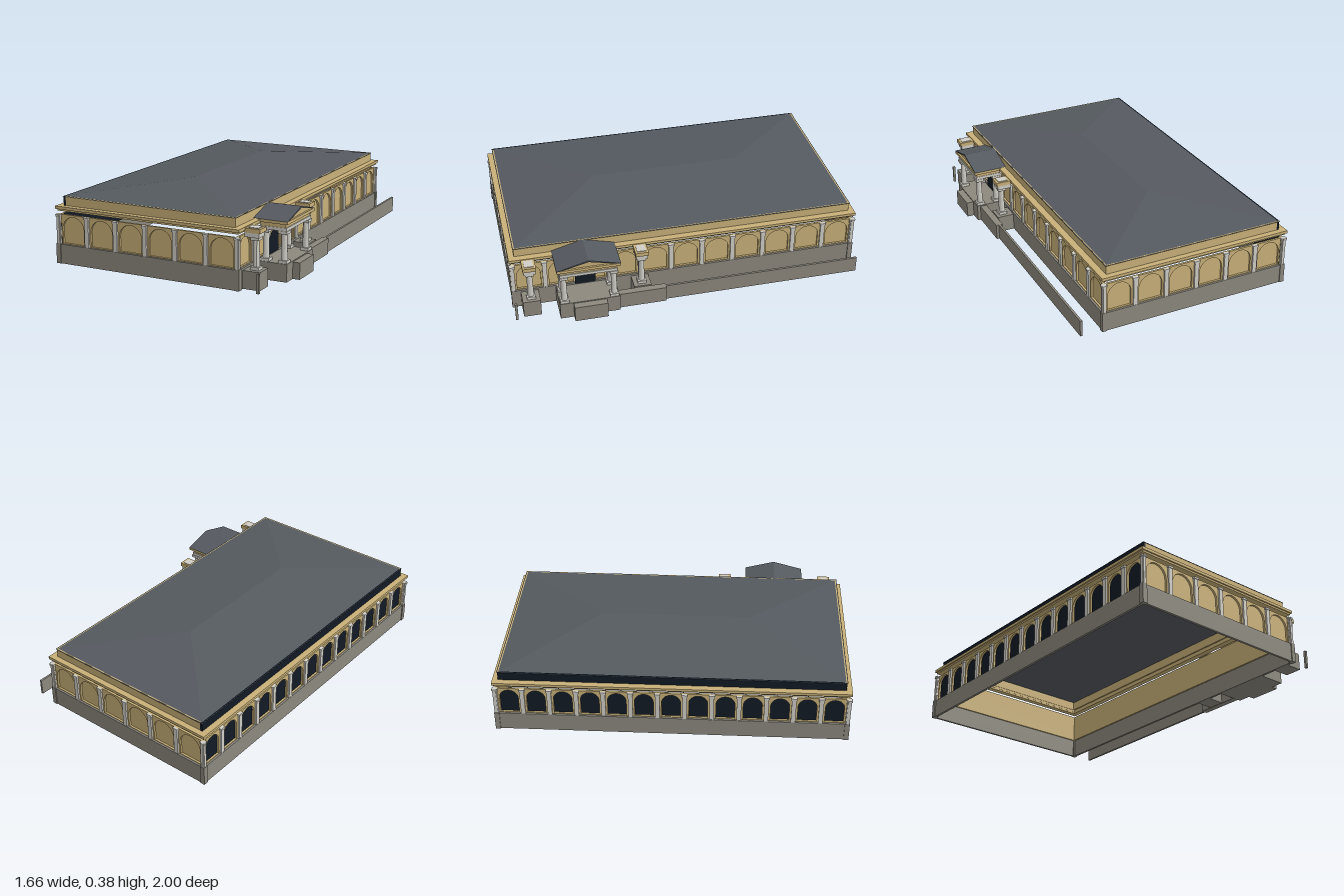
import * as THREE from 'three';

const mat = (color, side = THREE.FrontSide) => new THREE.MeshStandardMaterial({ color, side, flatShading: true });
const tan = mat(0xc8b078, THREE.DoubleSide);
const stone = mat(0x8c887e);
const light = mat(0xd0cec6);
const slate = mat(0x555a60, THREE.DoubleSide);
const navy = mat(0x111a24, THREE.DoubleSide);

const WALL_BOTTOM = 0.095, WALL_TOP = 0.24;

function add(parent, name, geometry, material, x = 0, y = 0, z = 0) {
  const m = new THREE.Mesh(geometry, material);
  m.name = name;
  m.position.set(x, y, z);
  parent.add(m);
  return m;
}

// Box given by its lower face height and its upper face height
function box(parent, name, material, x, z, w, d, y0, y1) {
  return add(parent, name, new THREE.BoxGeometry(w, y1 - y0, d), material, x, (y0 + y1) / 2, z);
}

// Outline of a round-headed opening
function arch(Path, x, w, y0, top) {
  const p = new Path();
  p.moveTo(x - w / 2, y0);
  p.lineTo(x + w / 2, y0);
  p.lineTo(x + w / 2, top - w / 2);
  p.absarc(x, top - w / 2, w / 2, 0, Math.PI, false);
  p.lineTo(x - w / 2, y0);
  return p;
}

// One facade: plinth, arcade with recessed infill, pilasters and attic
function facade(parent, name, angle, dist, half, bays, infill, attic, atticDist, atticHalf) {
  const g = new THREE.Group();
  g.name = name;
  g.rotation.y = angle;
  parent.add(g);
  box(g, 'plinth', stone, 0, dist + 0.002, half * 2 + 0.01, 0.012, 0, WALL_BOTTOM);

  const wall = new THREE.Shape();
  wall.moveTo(-half, WALL_BOTTOM);
  wall.lineTo(half, WALL_BOTTOM);
  wall.lineTo(half, WALL_TOP);
  wall.lineTo(-half, WALL_TOP);
  const bay = half * 2 / bays;
  for (let i = 0; i < bays; i++) {
    wall.holes.push(arch(THREE.Path, -half + bay * (i + 0.5), bay - 0.04, WALL_BOTTOM + 0.003, 0.23));
  }
  add(g, 'arcade', new THREE.ExtrudeGeometry(wall, { depth: 0.01, bevelEnabled: false, curveSegments: 10 }),
    tan, 0, 0, dist - 0.012);
  add(g, 'archInfill', new THREE.PlaneGeometry(half * 2, WALL_TOP - WALL_BOTTOM), infill,
    0, (WALL_BOTTOM + WALL_TOP) / 2, dist - 0.013);
  for (let i = 0; i <= bays; i++) {
    const x = -half + bay * i;
    box(g, 'pilaster', light, x, dist, 0.022, 0.014, WALL_BOTTOM, WALL_TOP);
    box(g, 'pilasterCapital', light, x, dist + 0.002, 0.028, 0.016, WALL_TOP - 0.01, WALL_TOP);
  }
  box(g, 'attic', attic, 0, atticDist - 0.006, atticHalf * 2, 0.012, 0.278, 0.325);
  return g;
}

// Flat rectangular ring
function ring(parent, name, material, hu, hv, width, y0, y1) {
  for (const s of [-1, 1]) {
    box(parent, name, material, s * (hu - width / 2), 0, width, hv * 2, y0, y1);
    box(parent, name, material, 0, s * (hv - width / 2), (hu - width) * 2, width, y0, y1);
  }
}

// Hipped roof with a flat underside
function hipRoof(hu, hv, ridge, y0, y1) {
  const a = [-hu, y0, -hv], b = [hu, y0, -hv], c = [hu, y0, hv], d = [-hu, y0, hv];
  const r = [0, y1, -ridge], f = [0, y1, ridge];
  const tris = [d, c, f, c, b, r, c, r, f, b, a, r, a, d, f, a, f, r, a, b, c, a, c, d];
  const geo = new THREE.BufferGeometry();
  geo.setAttribute('position', new THREE.Float32BufferAttribute(tris.flat(), 3));
  geo.computeVertexNormals();
  return geo;
}

// Column with square base and capital
function column(parent, x, z, y0, y1) {
  const g = new THREE.Group();
  g.name = 'column';
  g.position.set(x, 0, z);
  parent.add(g);
  box(g, 'columnBase', light, 0, 0, 0.042, 0.042, y0, y0 + 0.014);
  const h = y1 - y0 - 0.028;
  add(g, 'columnShaft', new THREE.CylinderGeometry(0.013, 0.016, h, 12), light, 0, y0 + 0.014 + h / 2, 0);
  box(g, 'columnCapital', light, 0, 0, 0.04, 0.04, y1 - 0.014, y1);
}

function buildPorch(parent) {
  const g = new THREE.Group();
  g.name = 'porch';
  g.position.z = 0.506;
  parent.add(g);
  box(g, 'porchPlatform', stone, 0.55, 0, 0.14, 0.29, 0, 0.085);
  box(g, 'porchLanding', stone, 0.635, 0, 0.04, 0.16, 0, 0.08);
  for (const s of [-1, 1]) {
    column(g, 0.596, s * 0.12, 0.085, 0.235);
    column(g, 0.505, s * 0.12, 0.085, 0.235);
  }
  box(g, 'porchArchitrave', light, 0.548, 0, 0.13, 0.275, 0.235, 0.25);
  box(g, 'porchFrieze', tan, 0.546, 0, 0.125, 0.27, 0.25, 0.27);
  box(g, 'porchCornice', tan, 0.552, 0, 0.145, 0.304, 0.27, 0.284);

  // Pediment runs along x, its triangle facing outward
  const tri = new THREE.Shape();
  tri.moveTo(-0.14, 0.284);
  tri.lineTo(0.14, 0.284);
  tri.lineTo(0, 0.318);
  const ped = add(g, 'pediment', new THREE.ExtrudeGeometry(tri, { depth: 0.155, bevelEnabled: false }), tan, 0.46, 0, 0);
  ped.rotation.y = Math.PI / 2;
  const top = new THREE.Shape();
  top.moveTo(-0.153, 0.284);
  top.lineTo(-0.137, 0.284);
  top.lineTo(0, 0.317);
  top.lineTo(0.137, 0.284);
  top.lineTo(0.153, 0.284);
  top.lineTo(0, 0.325);
  const roof = add(g, 'porchRoof', new THREE.ExtrudeGeometry(top, { depth: 0.175, bevelEnabled: false }), slate, 0.45, 0, 0);
  roof.rotation.y = Math.PI / 2;

  const door = add(g, 'door', new THREE.ShapeGeometry(arch(THREE.Shape, 0, 0.1, 0.09, 0.2)), navy, 0.487, 0, 0);
  door.rotation.y = Math.PI / 2;
}

export function createModel() {
  const model = new THREE.Group();
  model.name = 'arcadedHall';
  const hall = new THREE.Group();
  hall.name = 'hall';
  hall.position.set(-0.042, 0, 0.008);
  hall.rotation.y = THREE.MathUtils.degToRad(23);
  model.add(hall);

  // Four walls; the range opposite the porch is glazed
  facade(hall, 'frontWall', 0, 0.853, 0.475, 6, tan, tan, 0.836, 0.455);
  facade(hall, 'backWall', Math.PI, 0.853, 0.475, 6, tan, tan, 0.836, 0.455);
  facade(hall, 'porchWall', Math.PI / 2, 0.475, 0.853, 11, tan, tan, 0.455, 0.836);
  facade(hall, 'glazedWall', -Math.PI / 2, 0.475, 0.853, 13, navy, navy, 0.457, 0.836);

  for (const su of [-1, 1]) for (const sv of [-1, 1]) {
    box(hall, 'cornerPlinth', stone, su * 0.476, sv * 0.853, 0.024, 0.024, 0, 0.098);
  }

  // Cornice and roof sit above an open slot
  ring(hall, 'corniceLower', tan, 0.48, 0.857, 0.03, 0.257, 0.266);
  ring(hall, 'corniceUpper', tan, 0.488, 0.864, 0.038, 0.266, 0.28);
  add(hall, 'roof', hipRoof(0.46, 0.84, 0.374, 0.324, 0.375), slate);

  buildPorch(hall);

  // Free-standing columns either side of the porch
  for (const v of [0.238, 0.777]) {
    box(hall, 'columnPier', stone, 0.525, v, 0.085, 0.085, 0, 0.085);
    column(hall, 0.53, v, 0.085, 0.235);
    box(hall, 'columnArchitrave', light, 0.52, v, 0.07, 0.056, 0.235, 0.257);
    box(hall, 'columnEntablature', tan, 0.522, v, 0.08, 0.064, 0.257, 0.277);
    box(hall, 'columnTop', light, 0.525, v, 0.05, 0.044, 0.277, 0.28);
  }

  // Boundary wall along the porch side
  box(hall, 'boundaryWall', stone, 0.585, -0.36, 0.011, 0.98, 0, 0.08);
  box(hall, 'boundaryWallThick', stone, 0.587, 0.245, 0.034, 0.23, 0, 0.08);
  box(hall, 'boundaryPost', stone, 0.576, 0.854, 0.012, 0.012, 0, 0.09);
  return model;
}
